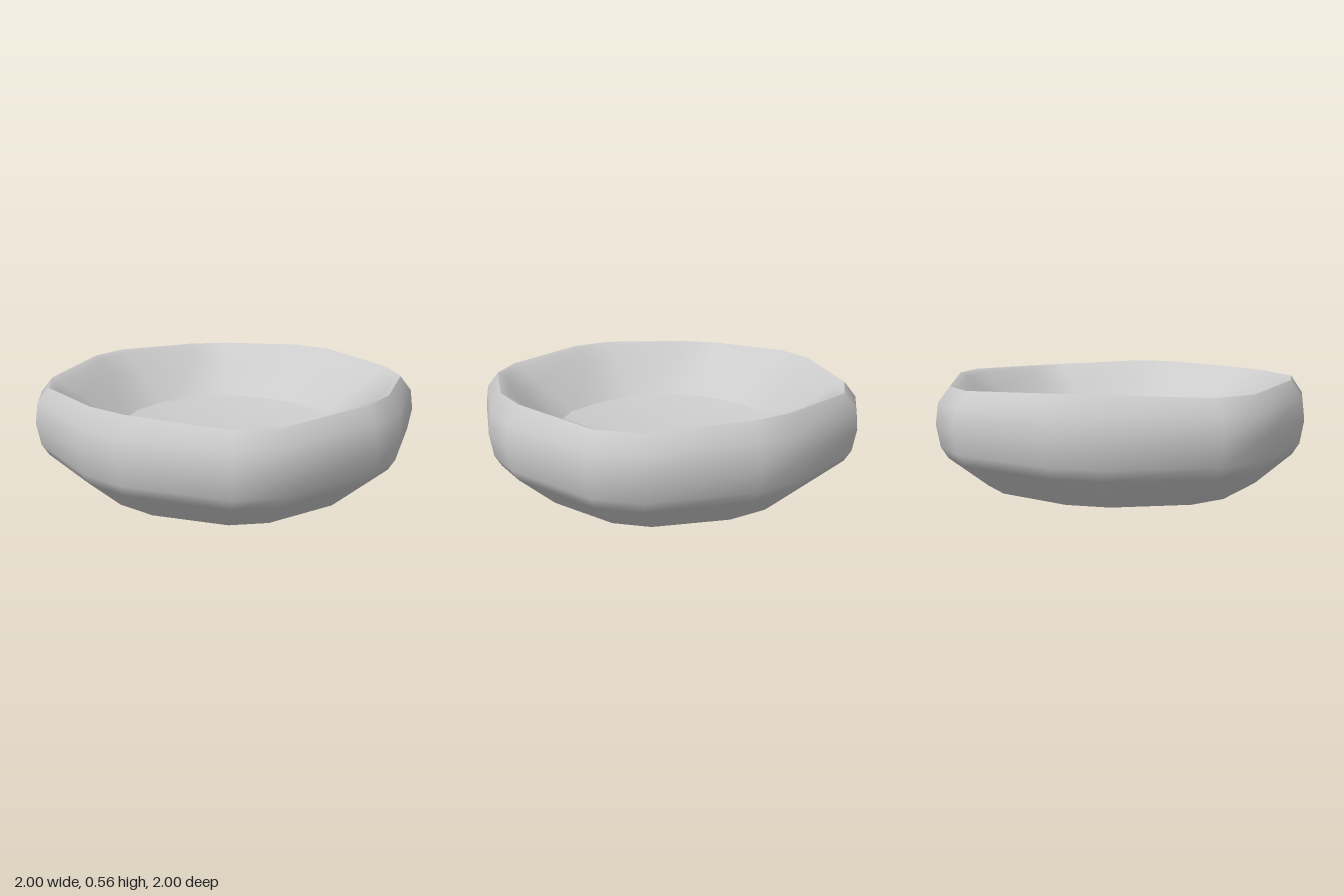
import * as THREE from 'three';

// A ring is a 16-sided rounded square: reach r, half flat w, corner (d, c), height, corner height
const ring = (r, w, d, c, y, cy = y) => {
  const points = [];
  for (let q = 0; q < 4; q++) {
    for (const [x, z, h] of [[r, w, y], [d, c, cy], [c, d, cy], [w, r, y]]) {
      let px = x, pz = z;
      for (let k = 0; k < q; k++) [px, pz] = [-pz, px];
      points.push([px, h, pz]);
    }
  }
  return points;
};

// Same outline as the widest ring, scaled
const scaled = (s, y, cy) => ring(s, 0.125 * s, 0.825 * s, 0.65 * s, y, cy);

// Smooth skin through successive rings
function skin(rings) {
  const n = 16, index = [];
  for (let j = 0; j < rings.length - 1; j++) {
    for (let i = 0; i < n; i++) {
      const a = j * n + i, b = j * n + (i + 1) % n;
      index.push(a, a + n, b, b, a + n, b + n);
    }
  }
  return build(rings.flat(2), index);
}

// Fan from a centre point to a ring
function cap(points, centreY, up) {
  const index = [];
  for (let i = 0; i < 16; i++) {
    const a = i + 1, b = (i + 1) % 16 + 1;
    index.push(0, up ? b : a, up ? a : b);
  }
  return build([0, centreY, 0, ...points.flat()], index);
}

function build(positions, index) {
  const g = new THREE.BufferGeometry();
  g.setAttribute('position', new THREE.Float32BufferAttribute(positions, 3));
  g.setIndex(index);
  g.computeVertexNormals();
  return g;
}

export function createModel() {
  const group = new THREE.Group();
  group.name = 'bowl';
  const material = new THREE.MeshStandardMaterial({ color: 0xcccccc });
  const add = (name, geometry) => {
    const mesh = new THREE.Mesh(geometry, material);
    mesh.name = name;
    group.add(mesh);
  };

  const base = ring(0.755, 0.11, 0.62, 0.48, 0);
  const rim = scaled(0.925, 0.56, 0.54);
  const floor = ring(0.6, 0.1, 0.51, 0.355, 0.265);

  // Bulging outside, from the foot up to the sharp rim
  add('outerWall', skin([
    base, scaled(0.945, 0.17), scaled(0.98, 0.23), scaled(1, 0.35), scaled(0.985, 0.47, 0.46), rim,
  ]));

  // Narrow lip inside the rim, then a straight slope down to the floor
  add('innerWall', skin([
    rim, scaled(0.88, 0.54, 0.52), ring(0.79, 0.11, 0.65, 0.5, 0.445, 0.435), floor,
  ]));

  // Dished floor and flat underside
  add('innerFloor', cap(floor, 0.16, true));
  add('underside', cap(base, 0, false));
  return group;
}
